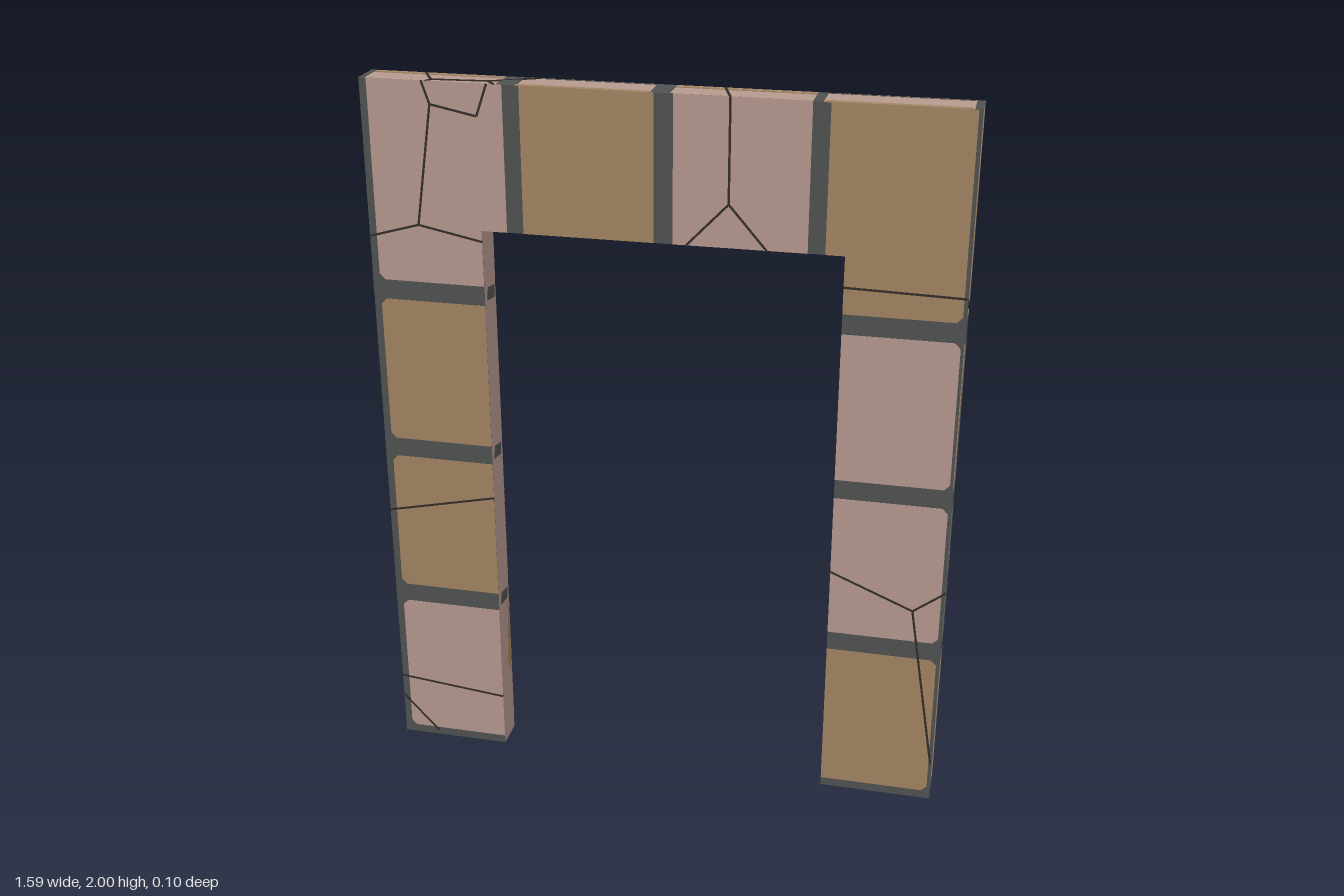
import * as THREE from 'three';

const make = (name, color) => new THREE.MeshStandardMaterial({ name, color });

export function createModel() {
  const pink = make('pinkStone', 0xb6998f);
  const tan = make('tanStone', 0xa38463);
  const mortar = make('darkMortar', 0x505252);
  const dark = make('crackBlack', 0x332c29);
  const W = 0.795, D = 0.047, H = 2, IN = 0.48, LINTEL = 1.61, SKIN = 0.002;
  const model = new THREE.Group();
  model.name = 'stoneDoorway';

  // Flat polygon raised a little above its face
  const plate = (parent, name, pts, depth, mat) => {
    const shape = new THREE.Shape(pts.map(([x, y]) => new THREE.Vector2(x, y)));
    const mesh = new THREE.Mesh(new THREE.ExtrudeGeometry(shape, { depth, bevelEnabled: false }), mat);
    mesh.name = name;
    parent.add(mesh);
    return mesh;
  };
  const rect = (x0, y0, x1, y1) => [[x0, y0], [x1, y0], [x1, y1], [x0, y1]];
  const arch = (w, h) => [[-w, 0], [-IN, 0], [-IN, LINTEL], [IN, LINTEL], [IN, 0], [w, 0], [w, h], [-w, h]];

  // Thin dark strips along a broken line
  const crack = (parent, pts) => {
    for (let i = 0; i + 1 < pts.length; i++) {
      const [ax, ay] = pts[i], [bx, by] = pts[i + 1];
      const strip = new THREE.Mesh(new THREE.BoxGeometry(Math.hypot(bx - ax, by - ay), 0.006, 0.0028), dark);
      strip.position.set((ax + bx) / 2, (ay + by) / 2, 0.0014);
      strip.rotation.z = Math.atan2(by - ay, bx - ax);
      strip.name = 'crack';
      parent.add(strip);
    }
  };

  // A group whose local xy plane lies on one face of the wall
  const face = (name, position, rotX, rotY) => {
    const g = new THREE.Group();
    g.name = name;
    g.position.set(...position);
    g.rotation.set(rotX, rotY, 0);
    model.add(g);
    return g;
  };

  // Solid wall
  const core = plate(model, 'wallCore', arch(W - SKIN, H - SKIN), 2 * (D - SKIN), pink);
  core.position.z = -(D - SKIN);

  // Stone layout: legs from the bottom up, then the lintel
  const joints = [[0, 0.025], [0.46, 0.515], [0.93, 0.985], [1.4, 1.455]];
  const OL = -0.775, OR = 0.785, c = 0.015;
  const legStone = (outer, y0, y1) => {
    const s = Math.sign(outer), o = outer, i = s * IN;
    return [[i, y0], [o - s * c, y0], [o, y0 + c], [o, y1 - c], [o - s * c, y1], [i, y1]];
  };
  const cornerStone = (outer, inner) => {
    const s = Math.sign(outer), y = joints[3][1];
    return [[s * IN, y], [outer - s * c, y], [outer, y + c], [outer, H], [inner, H], [inner, LINTEL], [s * IN, LINTEL]];
  };
  const stones = [
    [cornerStone(OL, -0.41), pink], [rect(-0.365, LINTEL, -0.015, H), tan],
    [rect(0.035, LINTEL, 0.385, H), pink], [cornerStone(OR, 0.43), tan],
  ];
  const legColors = [[pink, tan], [tan, pink], [tan, pink]];
  legColors.forEach(([l, r], i) => {
    const y0 = joints[i][1], y1 = joints[i + 1][0];
    stones.push([legStone(OL, y0, y1), l], [legStone(OR, y0, y1), r]);
  });

  // Cracks shared by front and back, then those of each face, in model x and y
  const shared = [
    [[0.48, 0.705], [0.71, 0.61], [0.795, 0.675]], [[0.71, 0.61], [0.79, 0.12]],
    [[0.48, 1.527], [0.795, 1.52]],
  ];
  const frontCracks = [
    [[-0.795, 1.575], [-0.655, 1.615], [-0.48, 1.58]],
    [[-0.655, 1.615], [-0.605, 1.94], [-0.625, 2]],
    [[-0.605, 1.94], [-0.48, 1.915], [-0.45, 2]],
    [[0.18, 2], [0.18, 1.725], [0.07, 1.61]], [[0.18, 1.725], [0.28, 1.61]],
    [[-0.795, 0.755], [-0.48, 0.825]], [[-0.795, 0.197], [-0.48, 0.165]],
    [[-0.795, 0.13], [-0.69, 0.015]],
  ];
  const backCracks = [
    [[-0.37, 2], [-0.15, 1.61]], [[0.16, 1.61], [0.16, 1.65]],
    [[-0.65, 2], [-0.7, 1.63], [-0.48, 1.6]], [[-0.7, 1.63], [-0.795, 1.6]],
    [[-0.48, 0.755], [-0.795, 0.76]], [[-0.48, 0.1], [-0.795, 0.18]],
    [[-0.795, 0.08], [-0.74, 0.015]],
  ];
  for (const [name, s, cracks] of [['frontFace', 1, frontCracks], ['backFace', -1, backCracks]]) {
    const g = face(name, [0, 0, s * (D - SKIN)], 0, s > 0 ? 0 : Math.PI);
    const flip = (pts) => pts.map(([x, y]) => [s * x, y]);
    plate(g, 'mortarBed', arch(W, H), 0.001, mortar);
    stones.forEach(([pts, mat]) => plate(g, 'stone', flip(pts), SKIN, mat));
    [...shared, ...cracks].forEach((pts) => crack(g, flip(pts)));
  }

  // Outer sides: mortar bands and narrow tan edges
  const sideCracks = {
    1: [[[-D, 1.52], [D, 1.46]], [[-D, 0.68], [D, 0.76]]],
    '-1': [[[-D, 1.6], [D, 1.575]], [[-D, 0.76], [D, 0.755]], [[-D, 0.18], [D, 0.197]]],
  };
  for (const s of [1, -1]) {
    const g = face(s > 0 ? 'leftSide' : 'rightSide', [s * (W - SKIN), 0, 0], 0, s * Math.PI / 2);
    joints.forEach(([y0, y1]) => plate(g, 'mortarBand', rect(-D, y0, D, y1), SKIN, mortar));
    if (s > 0) {
      plate(g, 'tanEdge', rect(0.026, 1.455, D, H), SKIN, tan);
      plate(g, 'tanEdge', rect(-D, 0.985, -0.03, 1.4), SKIN, tan);
      plate(g, 'tanEdge', rect(0.026, 0.025, D, 0.46), SKIN, tan);
    }
    sideCracks[s].forEach((pts) => crack(g, pts));
  }

  // Inner sides: broken bits of mortar near the joints
  for (const s of [1, -1]) {
    const g = face('innerSide', [s * IN, 0, 0], 0, -s * Math.PI / 2);
    joints.slice(1).forEach(([y0, y1]) =>
      plate(g, 'mortarChip', [[-0.03, y0 + 0.01], [0.03, y0], [0.035, y1 - 0.02], [-0.02, y1 - 0.01]], 0.001, mortar));
    if (s < 0) plate(g, 'tanChip', [[0.01, 0.25], [0.04, 0.2], [0.045, 0.42], [0.025, 0.45]], 0.001, tan);
  }

  // Top: mortar joints, tan edges and cracks
  const top = face('topFace', [0, H - SKIN, 0], -Math.PI / 2, 0);
  for (const [x0, x1] of [[-W, -0.783], [-0.425, -0.375], [-0.025, 0.025], [0.385, 0.41], [0.775, W]])
    plate(top, 'mortarJoint', rect(x0, -D, x1, D), SKIN, mortar);
  for (const [x0, x1, y0, y1] of [[-0.78, -0.43, 0.03, D], [-0.375, -0.03, -D, -0.03],
    [0.025, 0.385, 0.028, D], [0.41, 0.77, -D, -0.03]])
    plate(top, 'tanEdge', rect(x0, y0, x1, y1), SKIN, tan);
  crack(top, [[-0.645, D], [-0.605, -0.025], [-0.455, -0.013], [-0.335, D]]);
  crack(top, [[-0.605, -0.025], [-0.615, -D]]);
  crack(top, [[-0.455, -0.013], [-0.43, -D]]);
  crack(top, [[0.15, D], [0.18, -D]]);

  return model;
}
